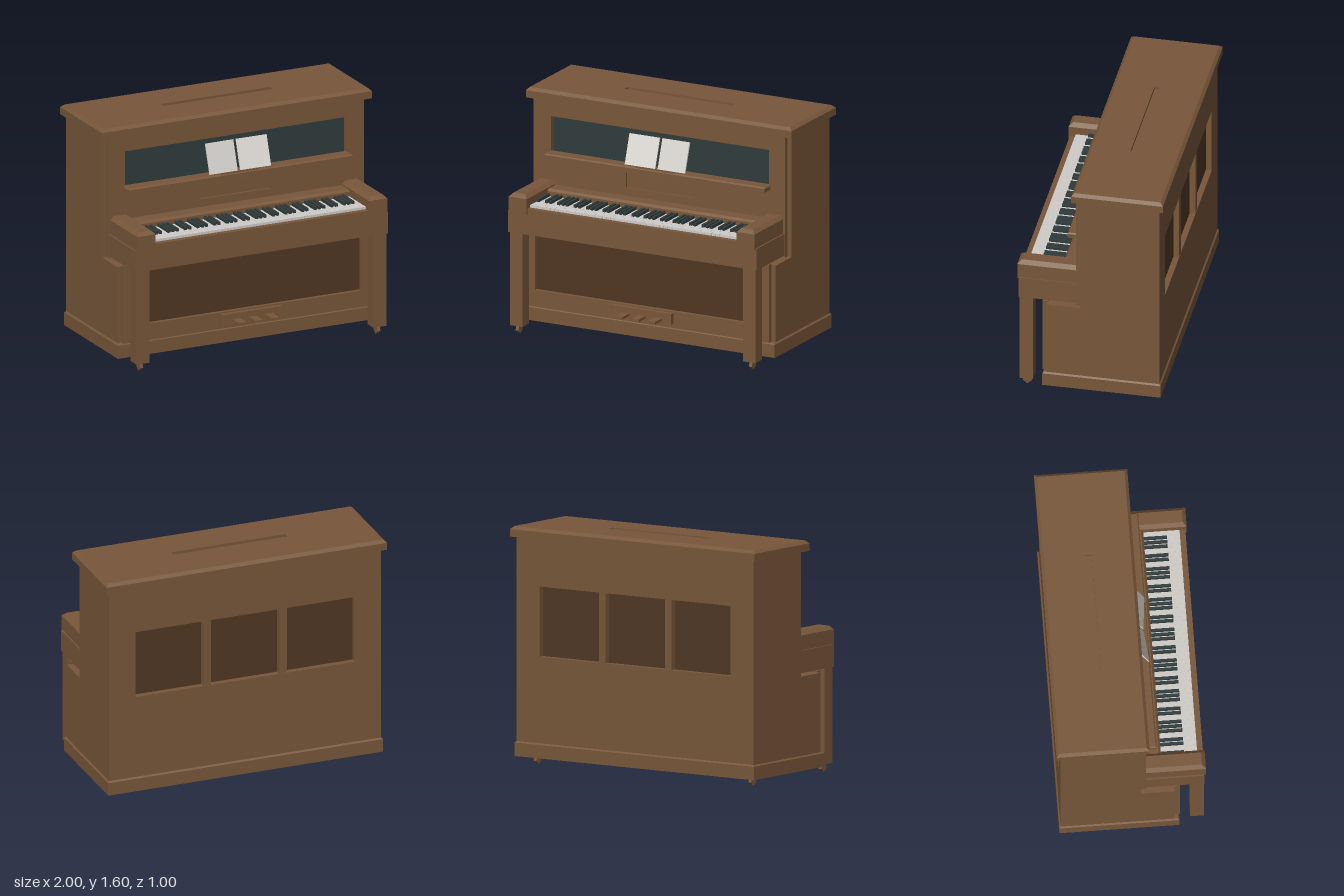
import * as THREE from 'three';

const mat = (name, color) => Object.assign(new THREE.MeshStandardMaterial({ color }), { name });

export function createModel() {
  const wood = mat('walnut wood', 0x78573a);
  const darkWood = mat('dark panel wood', 0x503724);
  const slate = mat('dark slate', 0x313c3c);
  const ivory = mat('ivory', 0xcfccc8);
  const paper = mat('paper', 0xdad7d1);

  const piano = new THREE.Group();
  piano.name = 'uprightPiano';

  const add = (name, geo, material, parent = piano) => {
    const m = new THREE.Mesh(geo, material);
    m.name = name;
    parent.add(m);
    return m;
  };
  // Box given by its limits on each axis
  const box = (name, material, x0, x1, y0, y1, z0, z1, parent) => {
    const m = add(name, new THREE.BoxGeometry(x1 - x0, y1 - y0, z1 - z0), material, parent);
    m.position.set((x0 + x1) / 2, (y0 + y1) / 2, (z0 + z1) / 2);
    return m;
  };
  // Box whose upper edges are chamfered by c
  const chamferBox = (name, material, x0, x1, y0, y1, z0, z1, c) => {
    const h = y1 - y0;
    const geo = new THREE.BoxGeometry(x1 - x0, h, z1 - z0, 1, 2, 1).toNonIndexed();
    const p = geo.attributes.position;
    for (let i = 0; i < p.count; i++) {
      const y = p.getY(i);
      if (y > h / 4) {
        p.setX(i, p.getX(i) - Math.sign(p.getX(i)) * c);
        p.setZ(i, p.getZ(i) - Math.sign(p.getZ(i)) * c);
      } else if (y > -h / 4) p.setY(i, h / 2 - c);
    }
    geo.computeVertexNormals();
    const m = add(name, geo, material);
    m.position.set((x0 + x1) / 2, (y0 + y1) / 2, (z0 + z1) / 2);
    return m;
  };
  const rect = (C, x0, x1, y0, y1) =>
    new C([[x0, y0], [x1, y0], [x1, y1], [x0, y1]].map(([x, y]) => new THREE.Vector2(x, y)));
  // Flat board with rectangular openings, facing z
  const frame = (name, outer, holes, z0, z1) => {
    const s = rect(THREE.Shape, ...outer);
    s.holes = holes.map((h) => rect(THREE.Path, ...h));
    const m = add(name, new THREE.ExtrudeGeometry(s, { depth: z1 - z0, bevelEnabled: false }), wood);
    m.position.z = z0;
    return m;
  };

  // Case
  box('upperCase', wood, -0.97, 0.97, 0.16, 1.53, -0.425, 0.065);
  box('lowerCase', wood, -0.97, 0.97, 0.16, 0.69, 0.06, 0.29);
  chamferBox('plinth', wood, -0.98, 0.98, 0.06, 0.16, -0.48, 0.32, 0.01);

  // Back frame with its recessed panel and two posts
  frame('backFrame', [-0.97, 0.97, 0.16, 1.53], [[-0.78, 0.78, 0.74, 1.21]], -0.47, -0.425);
  box('backPanel', darkWood, -0.78, 0.78, 0.74, 1.21, -0.43, -0.424);
  for (const s of [-1, 1]) box('backPost', wood, s * 0.27 - 0.028, s * 0.27 + 0.028, 0.74, 1.21, -0.468, -0.425);

  // Front frames and sunken panels
  frame('upperFrontFrame', [-0.94, 0.94, 0.69, 1.53],
    [[-0.82, 0.82, 1.17, 1.42], [-0.255, 0.255, 1.005, 1.11]], 0.065, 0.1);
  box('upperFrontPanel', slate, -0.82, 0.82, 1.17, 1.42, 0.064, 0.07);
  box('centrePlate', wood, -0.252, 0.252, 1.008, 1.107, 0.06, 0.094);
  frame('lowerFrontFrame', [-0.94, 0.94, 0.16, 0.7], [[-0.82, 0.82, 0.275, 0.675]], 0.29, 0.325);
  box('lowerFrontPanel', darkWood, -0.82, 0.82, 0.275, 0.675, 0.289, 0.297);

  // Lid: straight lower part, tapered top with a long slot
  box('lidBase', wood, -1, 1, 1.53, 1.58, -0.5, 0.12);
  const lidShape = rect(THREE.Shape, -1, 1, -0.12, 0.5);
  lidShape.holes.push(rect(THREE.Path, -0.405, 0.405, 0.16, 0.205));
  const lidGeo = new THREE.ExtrudeGeometry(lidShape, { depth: 0.02, bevelEnabled: false });
  const lp = lidGeo.attributes.position;
  for (let i = 0; i < lp.count; i++) {
    if (lp.getZ(i) > 0.01 && Math.abs(lp.getX(i)) > 0.9) {
      lp.setX(i, lp.getX(i) * 0.98);
      lp.setY(i, lp.getY(i) > 0.2 ? 0.48 : -0.1);
    }
  }
  lidGeo.computeVertexNormals();
  const lid = add('lidTop', lidGeo, wood);
  lid.rotation.x = -Math.PI / 2;
  lid.position.y = 1.58;

  // Music shelf and open sheet music
  chamferBox('musicShelf', wood, -0.83, 0.83, 1.145, 1.18, 0.08, 0.18, 0.008);
  box('musicLip', wood, -0.14, 0.14, 1.178, 1.188, 0.165, 0.175);
  for (const s of [-1, 1]) {
    const page = new THREE.Group();
    page.name = s > 0 ? 'leftPage' : 'rightPage';
    box('pageSheet', paper, s > 0 ? 0.01 : -0.228, s > 0 ? 0.228 : -0.01, 0, 0.21, -0.005, 0.005, page);
    page.rotation.set(-0.33, -s * 0.11, 0);
    page.position.set(0, 1.182, 0.148);
    piano.add(page);
  }

  // Key bed, fallboard and arms
  box('keyBed', wood, -0.935, 0.935, 0.705, 0.855, 0.09, 0.488);
  box('keyBedUnderside', darkWood, -0.9, 0.9, 0.68, 0.705, 0.29, 0.33);
  box('keySlip', wood, -0.81, 0.81, 0.835, 0.885, 0.45, 0.491);
  chamferBox('fallboard', wood, -0.8, 0.8, 0.85, 0.95, 0.06, 0.21, 0.015);
  for (const s of [-1, 1]) {
    const [a, b] = s > 0 ? [0.79, 0.925] : [-0.925, -0.79];
    chamferBox('arm', wood, a, b, 0.845, 0.98, 0.06, 0.5, 0.025);
  }

  // Keyboard: 52 white keys, black keys in twos and threes
  const pitch = 1.58 / 52;
  for (let i = 0; i < 52; i++) {
    const x = -0.79 + i * pitch;
    box('whiteKey', ivory, x + 0.0004, x + pitch - 0.0004, 0.85, 0.902, 0.2, 0.452);
    const note = i % 7; // starts on A
    if (i < 51 && note !== 1 && note !== 4) {
      const bx = -0.778 + i * 0.031;
      box('blackKey', slate, bx - 0.009, bx + 0.009, 0.9, 0.922, 0.2, 0.365);
    }
  }

  // Legs and casters
  const profile = [[-0.018, 0.06], [-0.031, 0.025], [0, 0], [0.031, 0.025], [0.018, 0.06]];
  const casterGeo = new THREE.ExtrudeGeometry(
    new THREE.Shape(profile.map(([x, y]) => new THREE.Vector2(x, y))), { depth: 0.022, bevelEnabled: false });
  casterGeo.translate(0, 0, -0.011).rotateY(Math.PI / 2);
  for (const s of [-1, 1]) {
    const [a, b] = s > 0 ? [0.83, 0.925] : [-0.925, -0.83];
    box('frontLeg', wood, a, b, 0.06, 0.705, 0.395, 0.485);
    for (const z of [0.44, -0.357]) add('caster', casterGeo, wood).position.set(s * 0.878, 0, z);
  }

  // Pedals
  box('pedalBlock', wood, -0.225, 0.22, 0.19, 0.265, 0.3, 0.355);
  for (const x of [-0.122, 0, 0.122]) box('pedal', wood, x - 0.028, x + 0.028, 0.208, 0.225, 0.34, 0.45);

  return piano;
}
